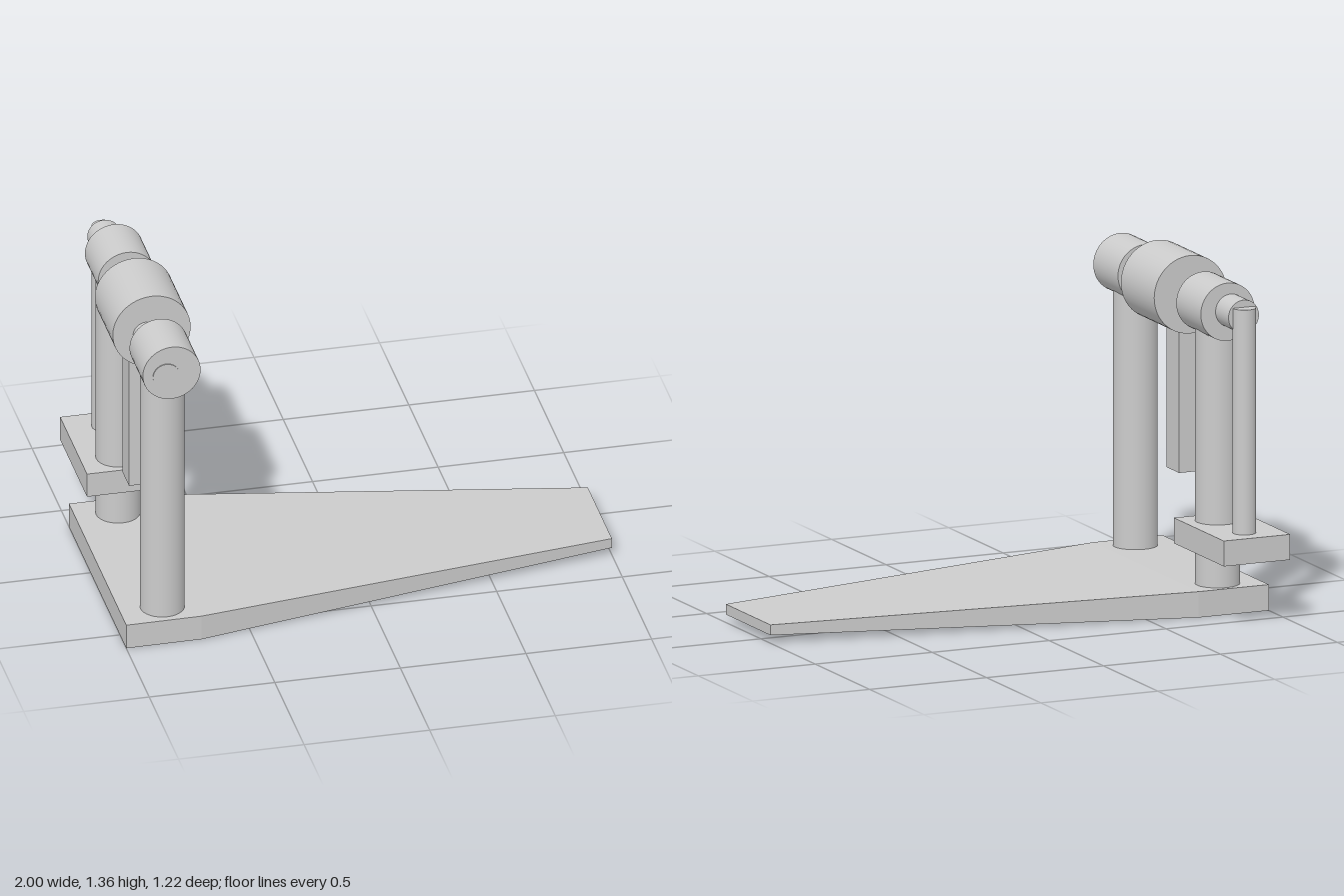
import * as THREE from 'three';

export function createModel() {
  const model = new THREE.Group();
  const grey = new THREE.MeshStandardMaterial({ color: 0xcccccc });

  const add = (name, geometry, x, y, z) => {
    const mesh = new THREE.Mesh(geometry, grey);
    mesh.name = name;
    mesh.position.set(x, y, z);
    model.add(mesh);
  };
  // Upright cylinder between two heights
  const post = (name, r, x, z, y0, y1) =>
    add(name, new THREE.CylinderGeometry(r, r, y1 - y0, 48), x, (y0 + y1) / 2, z);
  // Cylinder lying along z between two depths
  const axle = (name, r, x, y, z0, z1) =>
    add(name, new THREE.CylinderGeometry(r, r, z1 - z0, 48).rotateX(Math.PI / 2), x, y, (z0 + z1) / 2);
  // Box from its limits on each axis
  const block = (name, [x0, x1], [y0, y1], [z0, z1]) =>
    add(name, new THREE.BoxGeometry(x1 - x0, y1 - y0, z1 - z0), (x0 + x1) / 2, (y0 + y1) / 2, (z0 + z1) / 2);

  // Base plate tapering towards +x in width and thickness
  add('basePlate', taperedPlate([
    { x: -1, y0: 0, y1: 0.103, z0: -0.37, z1: 0.608 },
    { x: -0.7, y0: 0, y1: 0.103, z0: -0.37, z1: 0.605 },
    { x: 1, y0: 0.032, y1: 0.073, z0: -0.088, z1: 0.323 },
  ]), 0, 0, 0);

  // Two columns, each carrying a bearing
  for (const [side, colZ, z0, z1] of [['front', 0.493, 0.381, 0.608], ['rear', -0.263, -0.381, -0.155]]) {
    post(side + 'Column', 0.087, -0.83, colZ, 0.05, 1.19);
    axle(side + 'Bearing', 0.115, -0.819, 1.205, z0, z1);
  }

  // Shaft with drum and rear end piece
  axle('shaft', 0.053, -0.841, 1.195, -0.45, 0.612);
  axle('drum', 0.155, -0.82, 1.205, -0.036, 0.27);
  axle('shaftEnd', 0.065, -0.832, 1.21, -0.5, -0.3);

  // Bar hanging from the drum
  block('hangingBar', [-0.89, -0.82], [0.475, 1.15], [0.068, 0.183]);

  // Rear rod standing on its support block
  post('rearRod', 0.046, -0.831, -0.507, 0.3, 1.246);
  block('supportBlock', [-0.979, -0.695], [0.252, 0.353], [-0.612, -0.152]);

  return model;
}

// Flat-sided solid through rectangular cross-sections placed along x
function taperedPlate(sections) {
  const rings = sections.map(s => [
    [s.x, s.y0, s.z0], [s.x, s.y0, s.z1], [s.x, s.y1, s.z1], [s.x, s.y1, s.z0],
  ]);
  const points = [];
  const quad = (a, b, c, d) => points.push(...a, ...b, ...c, ...a, ...c, ...d);
  for (let i = 0; i + 1 < rings.length; i++) {
    for (let j = 0; j < 4; j++) {
      const k = (j + 1) % 4;
      quad(rings[i][j], rings[i + 1][j], rings[i + 1][k], rings[i][k]);
    }
  }
  const [first, last] = [rings[0], rings[rings.length - 1]];
  quad(first[0], first[1], first[2], first[3]);
  quad(last[3], last[2], last[1], last[0]);
  const geometry = new THREE.BufferGeometry();
  geometry.setAttribute('position', new THREE.Float32BufferAttribute(points, 3));
  geometry.computeVertexNormals();
  return geometry;
}
